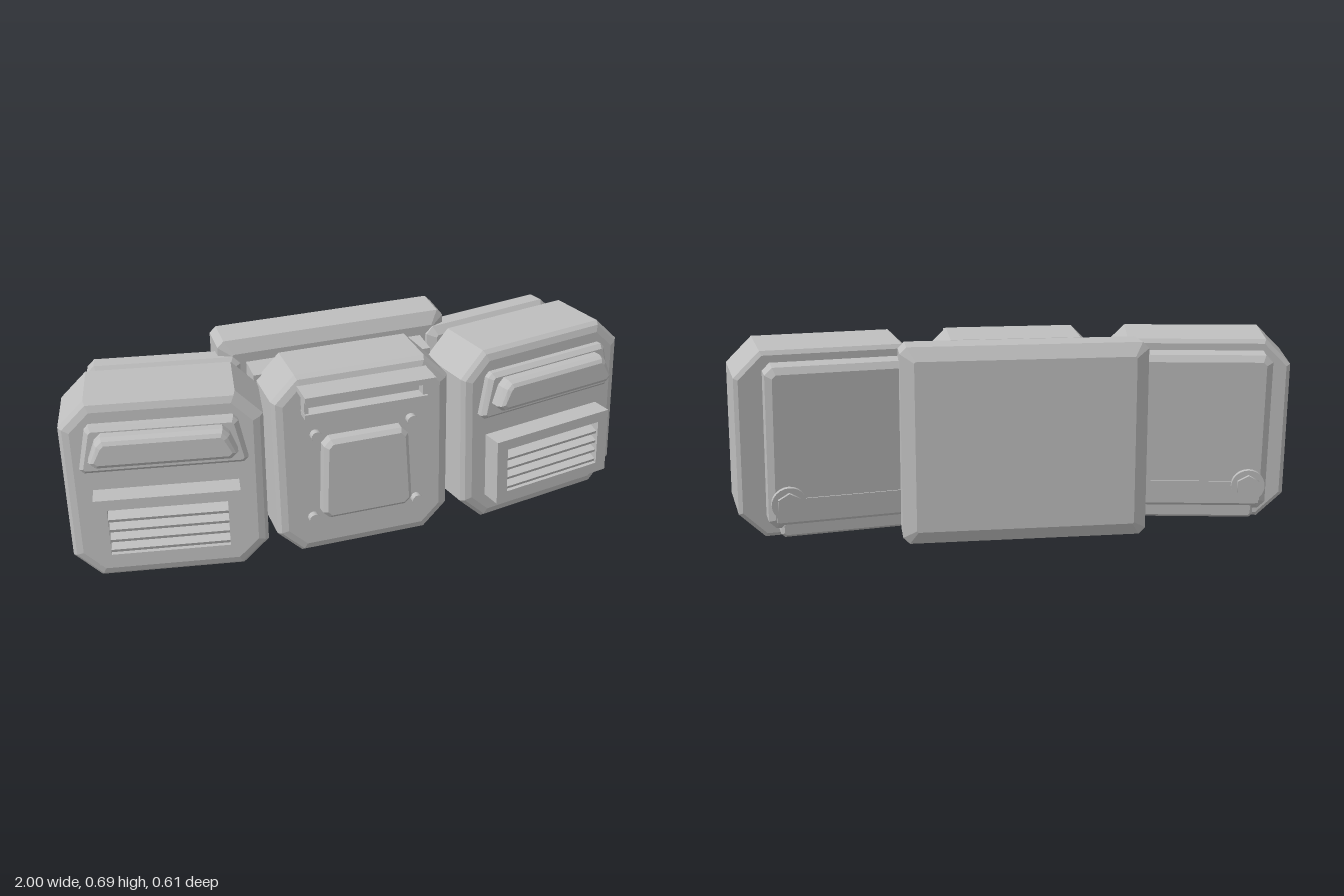
import * as THREE from 'three';

const grey = new THREE.MeshStandardMaterial({ color: 0xbebebe });
grey.name = 'grey casing';

const TILT = 0.079; // lean of the front panels
const YAW = 0.175; // outward turn of the side panels

function add(parent, name, geometry, x = 0, y = 0, z = 0) {
  const mesh = new THREE.Mesh(geometry, grey);
  mesh.name = name;
  mesh.position.set(x, y, z);
  parent.add(mesh);
  return mesh;
}

// Block with cut corners, lofted through [z, inset] layers from back to front.
// w, h: half sizes, c: corner cut, taper: narrowing at the top on each side
function block(w, h, c, layers, taper = 0) {
  const rings = layers.map(([z, inset]) => {
    const a = w - inset, b = h - inset, k = Math.max(c - inset * 0.58, 0.005), t = taper;
    return [[a, -b + k], [a - t, b - k], [a - t - k, b], [-a + t + k, b],
      [-a + t, b - k], [-a, -b + k], [-a + k, -b], [a - k, -b]].map(([x, y]) => [x, y, z]);
  });
  const pos = [];
  const tri = (...corners) => corners.forEach((p) => pos.push(...p));
  for (let r = 0; r < rings.length - 1; r++) {
    for (let i = 0; i < 8; i++) {
      const j = (i + 1) % 8, lo = rings[r], hi = rings[r + 1];
      tri(lo[i], lo[j], hi[j]);
      tri(lo[i], hi[j], hi[i]);
    }
  }
  const back = rings[0], front = rings[rings.length - 1];
  for (let i = 1; i < 7; i++) {
    tri(front[0], front[i], front[i + 1]);
    tri(back[0], back[i + 1], back[i]);
  }
  const g = new THREE.BufferGeometry();
  g.setAttribute('position', new THREE.Float32BufferAttribute(pos, 3));
  g.computeVertexNormals();
  return g;
}

// Disc or prism whose axis runs along z
function disc(r, depth, sides = 24) {
  return new THREE.CylinderGeometry(r, r, depth, sides).rotateX(Math.PI / 2);
}

function box(w, h, d) {
  return new THREE.BoxGeometry(w, h, d);
}

// Rectangular frame with an opening, front face at z = 0
function frame(w, h, holeW, holeH, depth) {
  const rect = (s, a, b) => s.moveTo(-a, -b).lineTo(a, -b).lineTo(a, b).lineTo(-a, b).closePath();
  const shape = rect(new THREE.Shape(), w / 2, h / 2);
  shape.holes.push(rect(new THREE.Path(), holeW / 2, holeH / 2));
  return new THREE.ExtrudeGeometry(shape, { depth, bevelEnabled: false }).translate(0, 0, -depth);
}

function pivot(parent, name, x, y, z, tilt, yaw) {
  const g = new THREE.Group();
  g.name = name;
  g.position.set(x, y, z);
  g.rotation.set(-tilt, yaw, 0, 'YXZ');
  parent.add(g);
  return g;
}

function sidePanel(root, s) {
  const p = pivot(root, 'sidePanel', s * 0.653, 0.348, 0.045, TILT, s * YAW);
  add(p, 'panelBody', block(0.328, 0.327, 0.088, [[-0.125, 0.014], [-0.115, 0], [0.108, 0], [0.122, 0.012], [0.13, 0.035]]));

  // Louvred vent
  const vent = new THREE.Group();
  vent.name = 'vent';
  vent.position.set(0, -0.108, 0.206);
  p.add(vent);
  add(vent, 'ventFrame', frame(0.475, 0.243, 0.39, 0.168, 0.085));
  add(vent, 'ventBack', box(0.4, 0.18, 0.01), 0, 0, -0.07);
  for (let i = 0; i < 4; i++) {
    add(vent, 'ventSlat', box(0.39, 0.012, 0.055), 0, 0.048 - i * 0.038, -0.035).rotation.x = 0.35;
  }

  // Handle on its tapered mount
  add(p, 'handleMount', block(0.272, 0.083, 0.015, [[0.1, 0], [0.15, 0], [0.165, 0.014]], 0.028), 0, 0.172, 0);
  add(p, 'handleBar', block(0.238, 0.054, 0.022, [[0.15, 0], [0.195, 0], [0.212, 0.008], [0.22, 0.02]], 0.024), 0, 0.183, 0);
}

function centrePanel(root) {
  const p = pivot(root, 'centrePanel', 0, 0.345, 0.078, TILT, 0);
  add(p, 'panelBody', block(0.311, 0.337, 0.085, [[-0.118, 0.035], [-0.1, 0], [0.09, 0], [0.107, 0.012], [0.115, 0.035]]));
  add(p, 'hatch', block(0.163, 0.152, 0.025, [[0.1, 0], [0.148, 0.002], [0.162, 0.016]], 0.012), 0, -0.042, 0);
  for (const s of [-1, 1]) {
    add(p, 'screw', disc(0.019, 0.03, 12), s * 0.17, 0.12, 0.125);
    add(p, 'screw', disc(0.019, 0.03, 12), s * 0.188, -0.196, 0.125);
  }
  // Hooded slot at the top
  add(p, 'slotVisor', box(0.45, 0.02, 0.125), 0, 0.296, 0.15);
  add(p, 'slotLedge', box(0.43, 0.018, 0.06), 0, 0.212, 0.135);
  for (const s of [-1, 1]) add(p, 'slotCheek', box(0.014, 0.08, 0.05), s * 0.207, 0.252, 0.13);
}

function rearPack(root, s) {
  const p = pivot(root, 'rearPack', s * 0.598, 0.36, -0.172, 0.1, s * YAW);
  add(p, 'packBody', block(0.26, 0.277, 0.025, [[-0.046, 0.022], [-0.032, 0], [0.03, 0], [0.05, 0.03]]));
  // Lower cover and bolt
  add(p, 'packCover', box(0.47, 0.08, 0.006), 0, -0.212, -0.047);
  add(p, 'boltWasher', disc(0.058, 0.016), s * 0.195, -0.185, -0.053);
  add(p, 'boltHead', disc(0.042, 0.02, 6), s * 0.195, -0.185, -0.063);
  // Spacer discs towards the front panel
  add(p, 'upperSpacer', disc(0.073, 0.07), s * 0.155, 0.15, 0.06);
  add(p, 'lowerSpacer', disc(0.058, 0.08), s * 0.155, -0.152, 0.065);
  // Foot joining pack and panel
  add(p, 'packFoot', block(0.22, 0.03, 0.012, [[-0.04, 0.01], [-0.03, 0], [0.12, 0]]), 0, -0.282, 0);
}

export function createModel() {
  const root = new THREE.Group();
  root.name = 'panelUnit';
  centrePanel(root);
  for (const s of [-1, 1]) {
    sidePanel(root, s);
    rearPack(root, s);
  }
  // Spine linking the panels to the rear box
  add(root, 'spine', box(0.64, 0.52, 0.11), 0, 0.35, -0.085);
  add(root, 'rearBox', block(0.413, 0.332, 0.022, [[-0.3, 0.045], [-0.275, 0], [-0.155, 0], [-0.132, 0.045]]), 0, 0.357, 0);
  return root;
}
